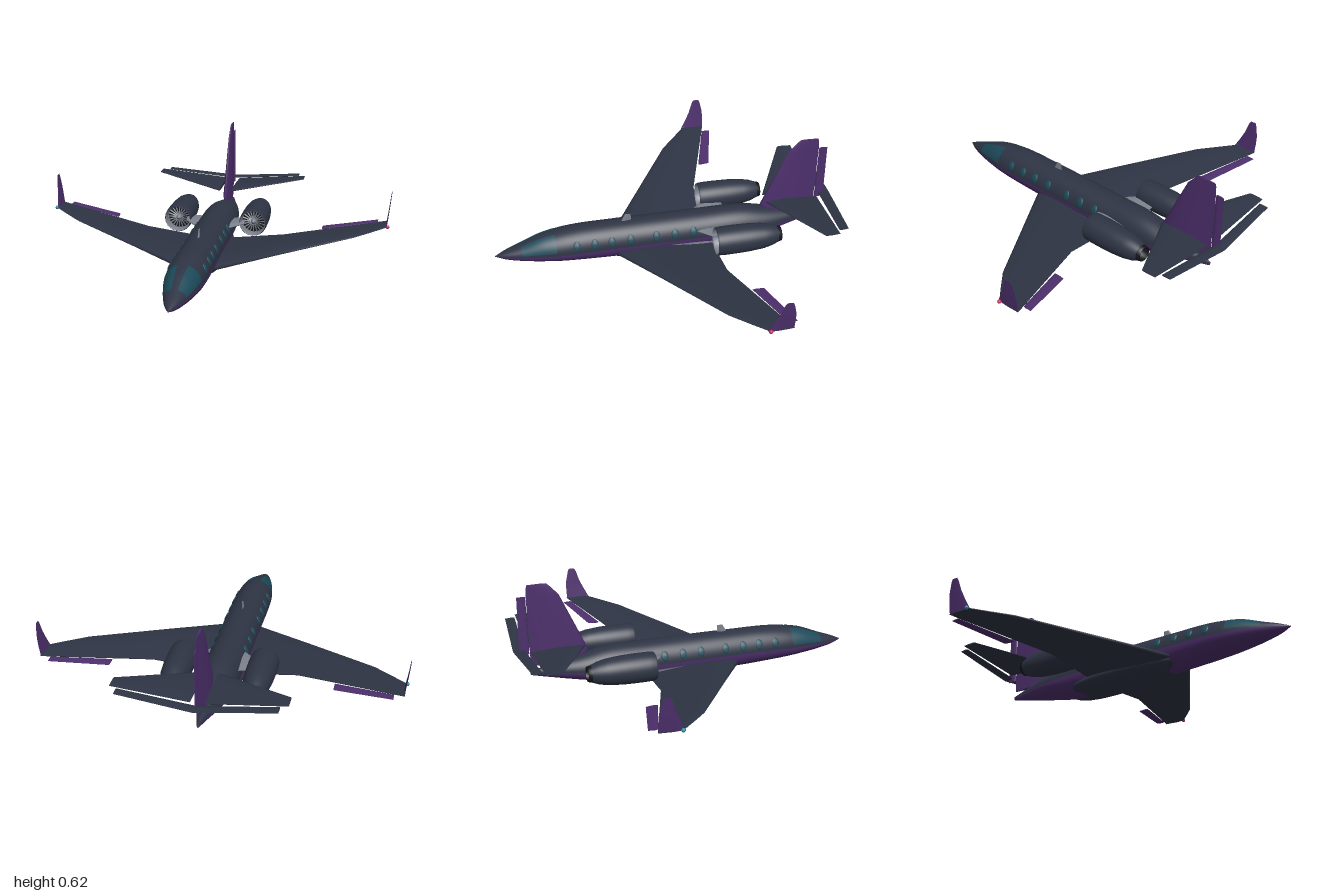
import * as THREE from 'three';

const DARK = 0x2e3444, PURPLE = 0x4d2f6c, TEAL = 0x1c4958, GREY = 0x7c818c, BLACK = 0x14161c;

function mesh(name, geometry, color, parent) {
  const m = new THREE.Mesh(geometry, new THREE.MeshStandardMaterial({ color, side: THREE.DoubleSide }));
  m.name = name;
  parent.add(m);
  return m;
}

// Skin a list of equal-length point rows; winding is turned outward from the body axis.
function loft(rows, capped = false) {
  const n = rows[0].length, pos = rows.flat(2), idx = [];
  for (let i = 0; i < rows.length - 1; i++) for (let j = 0; j < n - 1; j++) {
    const a = i * n + j, b = a + n;
    idx.push(a, b, b + 1, a, b + 1, a + 1);
  }
  if (capped) [rows[0], rows[rows.length - 1]].forEach((row, end) => {
    const c = pos.length / 3;
    pos.push(...[0, 1, 2].map(k => row.reduce((s, p) => s + p[k], 0) / n), ...row.flat());
    for (let j = 1; j < n; j++) idx.push(c, c + j + end, c + j + 1 - end);
  });
  const v = i => new THREE.Vector3(pos[3 * i], pos[3 * i + 1] - 0.115, pos[3 * i + 2]);
  let volume = 0;
  for (let i = 0; i < idx.length; i += 3) volume += v(idx[i]).dot(v(idx[i + 1]).cross(v(idx[i + 2])));
  if (volume < 0) idx.reverse();
  const g = new THREE.BufferGeometry();
  g.setAttribute('position', new THREE.Float32BufferAttribute(pos, 3));
  g.setIndex(idx);
  g.computeVertexNormals();
  return g;
}

// Aerofoil surface through sections [x, y, zLeading, zTrailing, thickness]
const HALF_FOIL = [[1, 0.04], [0.75, 0.25], [0.5, 0.44], [0.3, 0.5], [0.12, 0.38], [0.03, 0.2], [0, 0]];
const FOIL = [...HALF_FOIL, ...HALF_FOIL.slice(0, -1).reverse().map(([c, t]) => [c, -t]), HALF_FOIL[0]];
function foil(sections, side = 1, upright = false) {
  return loft(sections.map(([x, y, le, te, t]) => FOIL.map(([c, h]) =>
    [side * (x + (upright ? h * t : 0)), y + (upright ? 0 : h * t), le + (te - le) * c])), true);
}

// Fuselage stations: z, half width, centre line, top, bottom
const STATIONS = [
  [-0.87, 0.006, 0.12, 0.13, 0.108], [-0.8, 0.024, 0.12, 0.146, 0.092], [-0.6, 0.08, 0.117, 0.192, 0.052],
  [-0.45, 0.1, 0.115, 0.222, 0.024], [-0.2, 0.105, 0.115, 0.226, 0.013], [0.3, 0.105, 0.115, 0.226, 0.015],
  [0.5, 0.105, 0.113, 0.223, 0.026], [0.6, 0.1, 0.11, 0.212, 0.033], [0.7, 0.085, 0.106, 0.192, 0.042],
  [0.8, 0.062, 0.1, 0.153, 0.053], [0.9, 0.03, 0.095, 0.116, 0.07], [0.954, 0.002, 0.09, 0.092, 0.088],
];
const hull = new THREE.CubicInterpolant(STATIONS.map(s => s[0]), STATIONS.flatMap(s => s.slice(1)), 4);
function hullPoint(z, a, swell = 1, side = 1) {
  const [w, cy, top, bottom] = hull.evaluate(z);
  const s = Math.sin(a);
  return [side * w * Math.cos(a) * swell, cy + s * (s > 0 ? top - cy : cy - bottom) * swell, z];
}
const steps = (n, a, b) => Array.from({ length: n + 1 }, (_, i) => a + (b - a) * i / n);
const hullPatch = (z0, z1, a0, a1, nz, na, swell, side) =>
  loft(steps(nz, z0, z1).map(z => steps(na, a0, a1).map(a => hullPoint(z, a, swell, side))));

function addWindow(z, side, parent) {
  const rings = [[1, 0.995], [0.9, 1.03], [0.5, 1.04], [0, 1.04]];
  const rows = rings.map(([r, swell]) => steps(20, 0, Math.PI * 2).map(t =>
    hullPoint(z + 0.02 * r * Math.cos(t), 0.42 + 0.27 * r * Math.sin(t), swell, side)));
  mesh('cabinWindow', loft(rows), TEAL, parent);
}

const lathe = (points, segments = 40) =>
  new THREE.LatheGeometry(points.map(p => new THREE.Vector2(...p)), segments).rotateX(Math.PI / 2);

function createEngine() {
  const engine = new THREE.Group();
  engine.name = 'engine';
  // Points are radius and distance forward from the engine's middle
  mesh('nacelle', lathe([[0.044, -0.17], [0.06, -0.13], [0.071, -0.08], [0.078, 0], [0.08, 0.08],
    [0.08, 0.14], [0.078, 0.175], [0.074, 0.184]]), DARK, engine);
  mesh('intakeDuct', lathe([[0.074, 0.184], [0.069, 0.178], [0.067, 0.16], [0.067, 0.12]]), GREY, engine);
  mesh('exhaust', lathe([[0.046, -0.165], [0.041, -0.185], [0.035, -0.185], [0.033, -0.14], [0, -0.14]]), BLACK, engine);
  mesh('fanBack', new THREE.CircleGeometry(0.068, 40).translate(0, 0, 0.125), BLACK, engine);
  mesh('spinner', lathe([[0.018, 0.13], [0.016, 0.145], [0.009, 0.16], [0, 0.167]], 24), GREY, engine);
  for (let i = 0; i < 20; i++) {
    const blade = new THREE.BoxGeometry(0.007, 0.052, 0.0025).rotateY(0.5).translate(0, 0.041, 0.14);
    mesh('fanBlade', blade.rotateZ(i * Math.PI / 10), GREY, engine);
  }
  return engine;
}

export function createModel() {
  const plane = new THREE.Group();
  plane.name = 'businessJet';

  // Body
  mesh('upperFuselage', hullPatch(-0.87, 0.954, 0, Math.PI, 70, 28), DARK, plane);
  mesh('lowerFuselage', hullPatch(-0.87, 0.954, -Math.PI, 0, 70, 28), PURPLE, plane);
  const fairing = new THREE.SphereGeometry(1, 40, 24).scale(0.13, 0.057, 0.42).translate(0, 0.057, -0.04);
  mesh('bellyFairing', fairing, DARK, plane);
  mesh('antenna', foil([[0, 0.215, 0.25, 0.19, 0.012], [0, 0.265, 0.225, 0.192, 0.006]], 1, true), GREY, plane);

  // Fin and rudder
  mesh('fin', foil([[0, 0.16, -0.61, -0.865, 0.036], [0, 0.22, -0.55, -0.868, 0.036], [0, 0.55, -0.7, -0.875, 0.018],
    [0, 0.6, -0.745, -0.873, 0.014], [0, 0.618, -0.765, -0.868, 0.01]], 1, true), PURPLE, plane);
  mesh('rudder', foil([[0, 0.23, -0.872, -0.925, 0.014], [0, 0.555, -0.878, -0.925, 0.008]], 1, true), PURPLE, plane);

  for (const side of [1, -1]) {
    const half = new THREE.Group();
    half.name = side > 0 ? 'leftSide' : 'rightSide';
    plane.add(half);

    // Wing, aileron and winglet
    mesh('wing', foil([[0.05, 0.066, 0.315, -0.25, 0.055], [0.12, 0.073, 0.275, -0.25, 0.05],
      [0.4, 0.105, 0.095, -0.262, 0.034], [0.8, 0.146, -0.16, -0.395, 0.019],
      [0.9, 0.156, -0.25, -0.429, 0.014], [0.98, 0.165, -0.325, -0.455, 0.009]], side), DARK, half);
    mesh('aileron', foil([[0.61, 0.126, -0.342, -0.406, 0.009], [0.925, 0.158, -0.438, -0.487, 0.006]], side), PURPLE, half);
    mesh('winglet', foil([[0.976, 0.162, -0.315, -0.452, 0.008], [0.984, 0.22, -0.345, -0.454, 0.006],
      [0.99, 0.27, -0.368, -0.452, 0.005], [0.996, 0.33, -0.387, -0.438, 0.004],
      [0.998, 0.348, -0.397, -0.43, 0.003]], side, true), PURPLE, half);
    const lamp = mesh('navigationLight', new THREE.SphereGeometry(0.011, 16, 12), side > 0 ? 0xc03060 : 0x2a90a8, half);
    lamp.position.set(side * 0.984, 0.165, -0.33);

    // Tailplane and elevator
    mesh('stabilizer', foil([[0.038, 0.255, -0.575, -0.872, 0.022], [0.45, 0.293, -0.785, -0.868, 0.008]], side), DARK, half);
    mesh('elevator', foil([[0, 0.252, -0.895, -0.958, 0.012], [0.41, 0.289, -0.877, -0.93, 0.007]], side), DARK, half);

    // Engine on its pylon
    const engine = createEngine();
    engine.position.set(side * 0.22, 0.168, -0.425);
    half.add(engine);
    mesh('pylon', foil([[0.08, 0.155, -0.15, -0.37, 0.024], [0.17, 0.162, -0.245, -0.36, 0.02]], side), GREY, half);

    // Glazing
    for (const z of [0.51, 0.41, 0.315, 0.21, 0.065, -0.04, -0.145]) addWindow(z, side, half);
    mesh('cockpitWindow', hullPatch(0.62, 0.81, 0.2, 1.3, 10, 10, 1.012, side), TEAL, half);
  }
  return plane;
}
